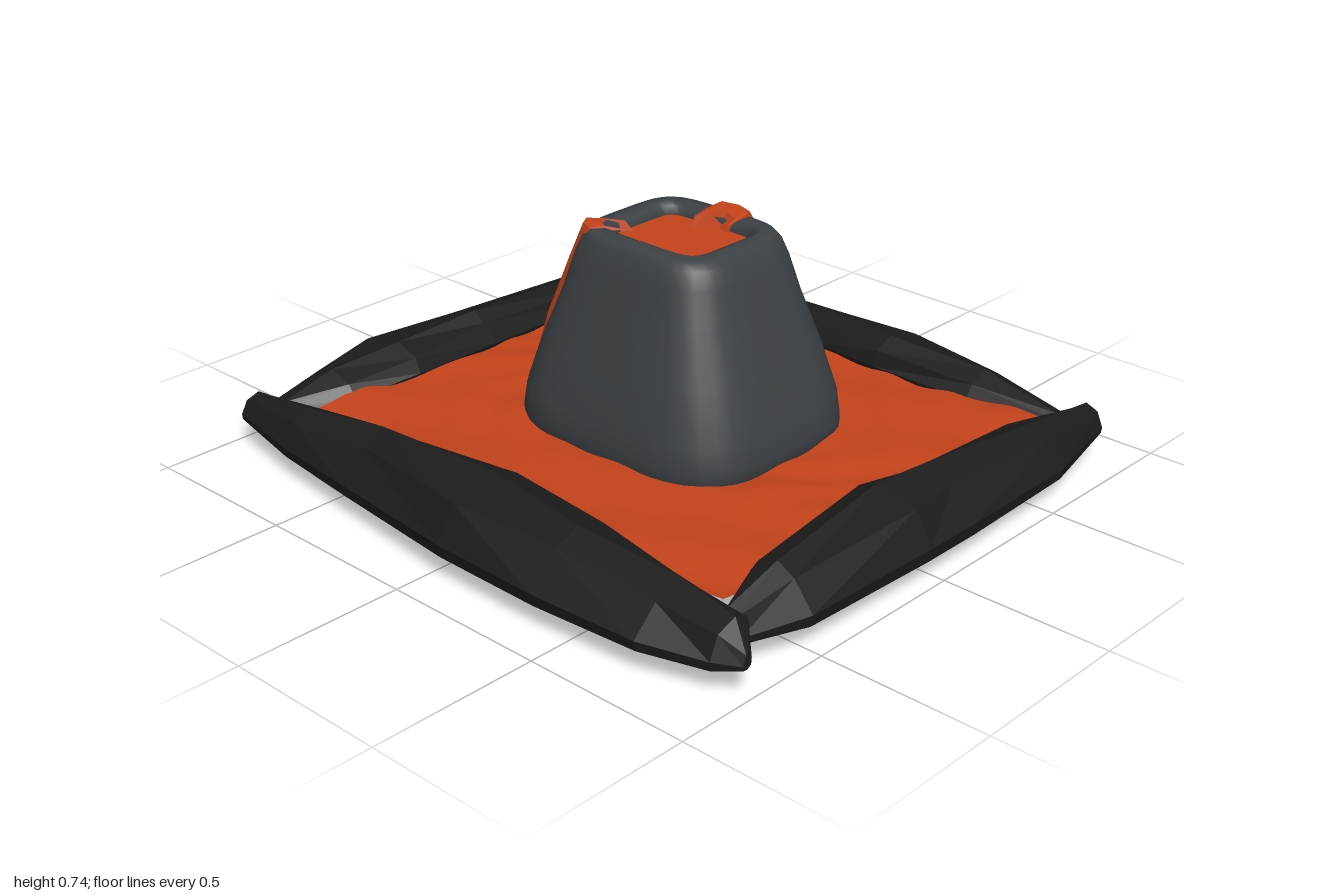
import * as THREE from 'three';

const ROCK = new THREE.MeshStandardMaterial({ color: 0x1c1c1c, flatShading: true });
const STONE = new THREE.MeshStandardMaterial({ color: 0x3c4145 });
const LAVA = new THREE.MeshStandardMaterial({ color: 0xc4431b, side: THREE.DoubleSide });
const FLOW = new THREE.MeshStandardMaterial({ color: 0xc4431b, flatShading: true });

const CX = 0.05, CZ = -0.025; // volcano axis

// Closed solid through equal-length rings of [x, y, z], capped at both ends
function loft(rings) {
  const n = rings[0].length, pos = rings.flat(2), idx = [];
  const ends = [rings[0], rings[rings.length - 1]];
  for (const ring of ends) {
    for (let k = 0; k < 3; k++) pos.push(ring.reduce((s, p) => s + p[k], 0) / n);
  }
  const c0 = rings.length * n, last = c0 - n;
  for (let j = 0; j < n; j++) {
    const k = (j + 1) % n;
    for (let i = 0; i < rings.length - 1; i++) {
      const a = i * n + j, b = i * n + k;
      idx.push(a, b, b + n, a, b + n, a + n);
    }
    idx.push(c0, k, j, c0 + 1, last + j, last + k);
  }
  // turn the faces outward if the enclosed volume is negative
  const v = (i) => new THREE.Vector3().fromArray(pos, i * 3);
  let volume = 0;
  for (let i = 0; i < idx.length; i += 3) {
    volume += v(idx[i]).dot(v(idx[i + 1]).cross(v(idx[i + 2])));
  }
  if (volume < 0) idx.reverse();
  const g = new THREE.BufferGeometry();
  g.setAttribute('position', new THREE.Float32BufferAttribute(pos, 3));
  g.setIndex(idx);
  g.computeVertexNormals();
  return g;
}

function add(group, name, geometry, material) {
  const mesh = new THREE.Mesh(geometry, material);
  mesh.name = name;
  group.add(mesh);
}

// Faceted border boulder; stations are [along, inner edge, outer edge, top height]
function boulder(stations, alongX) {
  const section = [[0.06, 0.15], [0, 0.55], [0.12, 0.82], [0.35, 1], [0.72, 0.8], [1, 0.25], [0.97, 0.02], [0.5, 0]];
  const rings = stations.map(([t, inner, outer, top], i) => {
    const low = i === 0 || i === stations.length - 1 ? 0.08 : 0.065;
    return section.map(([u, h], j) => {
      const wobble = j > 1 && j < 5 ? 0.08 * Math.sin(i * 2.3 + j * 1.7) : 0;
      const across = inner + (outer - inner) * (u + wobble);
      const y = low + (top - low) * h;
      return alongX ? [t, y, across] : [across, y, t];
    });
  });
  return loft(rings);
}

// Lava stream; stations are [x, y, z, half width], side is the width direction
function stream(stations, side, out, thickness) {
  const section = [[-1, 0], [-0.8, 1], [0.1, 1.15], [0.85, 0.9], [1, 0]];
  const rings = stations.map(([x, y, z, w]) => section.map(([s, d]) => [
    x + side[0] * w * s + out[0] * thickness * (d - 1),
    y + (d - 1) * 0.01,
    z + side[1] * w * s + out[1] * thickness * (d - 1),
  ]));
  return loft(rings);
}

// Rounded-square ring about the volcano axis
function squareRing(y, rx, rz, power, count = 56) {
  return Array.from({ length: count }, (_, i) => {
    const a = (i / count) * Math.PI * 2, c = Math.cos(a), s = Math.sin(a);
    const r = (Math.abs(c) ** power + Math.abs(s) ** power) ** (-1 / power);
    return [CX + rx * r * c, y, CZ + rz * r * s];
  });
}

export function createModel() {
  const model = new THREE.Group();
  model.name = 'volcano';

  // Rippled lava field
  const field = new THREE.PlaneGeometry(1.57, 1.37, 60, 60).rotateX(-Math.PI / 2).translate(0.03, 0.15, -0.03);
  const p = field.attributes.position;
  for (let i = 0; i < p.count; i++) {
    const x = p.getX(i), z = p.getZ(i);
    p.setY(i, 0.15 + 0.004 * Math.sin(9 * x + 17 * z) + 0.004 * Math.sin(23 * z - 11 * x + 2 * Math.sin(8 * x))
      + 0.003 * Math.sin(31 * x + 5 * Math.sin(7 * z)));
  }
  field.computeVertexNormals();
  add(model, 'lavaField', field, LAVA);

  // Border boulders
  add(model, 'frontBoulder', boulder([
    [-0.96, 0.67, 0.76, 0.15], [-0.7, 0.655, 0.81, 0.19], [-0.4, 0.61, 0.85, 0.22], [0.05, 0.595, 0.9, 0.24],
    [0.4, 0.605, 0.905, 0.23], [0.73, 0.64, 0.88, 0.2], [0.92, 0.68, 0.82, 0.18], [0.99, 0.75, 0.78, 0.13],
  ], true), ROCK);
  add(model, 'backBoulder', boulder([
    [-0.78, -0.74, -0.84, 0.16], [-0.49, -0.695, -0.89, 0.21], [0, -0.66, -0.912, 0.24],
    [0.25, -0.65, -0.905, 0.235], [0.57, -0.675, -0.89, 0.21], [0.83, -0.72, -0.83, 0.16],
  ], true), ROCK);
  add(model, 'rightBoulder', boulder([
    [-0.86, -0.78, -0.85, 0.16], [-0.55, -0.73, -0.95, 0.2], [0, -0.69, -0.99, 0.24],
    [0.3, -0.7, -1, 0.23], [0.52, -0.73, -0.98, 0.2], [0.69, -0.81, -0.94, 0.15],
  ], false), ROCK);
  add(model, 'leftBoulder', boulder([
    [-0.87, 0.83, 0.91, 0.16], [-0.57, 0.77, 0.975, 0.2], [-0.15, 0.755, 0.99, 0.235], [0.05, 0.735, 0.99, 0.24],
    [0.5, 0.765, 0.97, 0.21], [0.7, 0.84, 0.91, 0.16],
  ], false), ROCK);

  // Cone: rounded underside, sloped walls, rim and crater
  const cone = [
    [0, 0.01, 0.01, 2], [0.02, 0.19, 0.16, 2.5], [0.036, 0.28, 0.24, 3], [0.07, 0.35, 0.31, 3.5],
    [0.12, 0.4, 0.34, 4], [0.18, 0.405, 0.345, 4], [0.25, 0.395, 0.338, 4], [0.4, 0.35, 0.3, 4],
    [0.55, 0.295, 0.255, 4], [0.65, 0.265, 0.23, 4], [0.7, 0.245, 0.213, 4], [0.72, 0.225, 0.195, 4.5],
    [0.724, 0.19, 0.16, 5], [0.715, 0.168, 0.138, 6], [0.69, 0.16, 0.13, 8], [0.66, 0.158, 0.128, 8],
  ];
  add(model, 'cone', loft(cone.map((r) => squareRing(...r))), STONE);

  // Lava pool in the crater
  add(model, 'craterLava', new THREE.PlaneGeometry(0.324, 0.264).rotateX(-Math.PI / 2).translate(CX, 0.69, CZ), LAVA);

  // Streams running down the walls
  const q = Math.SQRT1_2;
  add(model, 'cornerStream', stream([
    [-0.1, 0.69, 0.085, 0.035], [-0.125, 0.73, 0.105, 0.035], [-0.165, 0.725, 0.13, 0.045], [-0.2, 0.62, 0.152, 0.055],
    [-0.225, 0.54, 0.168, 0.06], [-0.255, 0.45, 0.185, 0.065], [-0.285, 0.32, 0.205, 0.075],
    [-0.312, 0.2, 0.22, 0.082], [-0.31, 0.09, 0.22, 0.075],
  ], [q, q], [-q, q], 0.06), FLOW);
  add(model, 'backStream', stream([
    [0.07, 0.69, -0.145, 0.055], [0.07, 0.73, -0.17, 0.06], [0.065, 0.735, -0.23, 0.065], [0.06, 0.67, -0.268, 0.08],
    [0.06, 0.55, -0.305, 0.085], [0.05, 0.42, -0.35, 0.1], [0.05, 0.3, -0.38, 0.115], [0.05, 0.14, -0.4, 0.12],
  ], [1, 0], [0, -1], 0.05), FLOW);

  return model;
}
